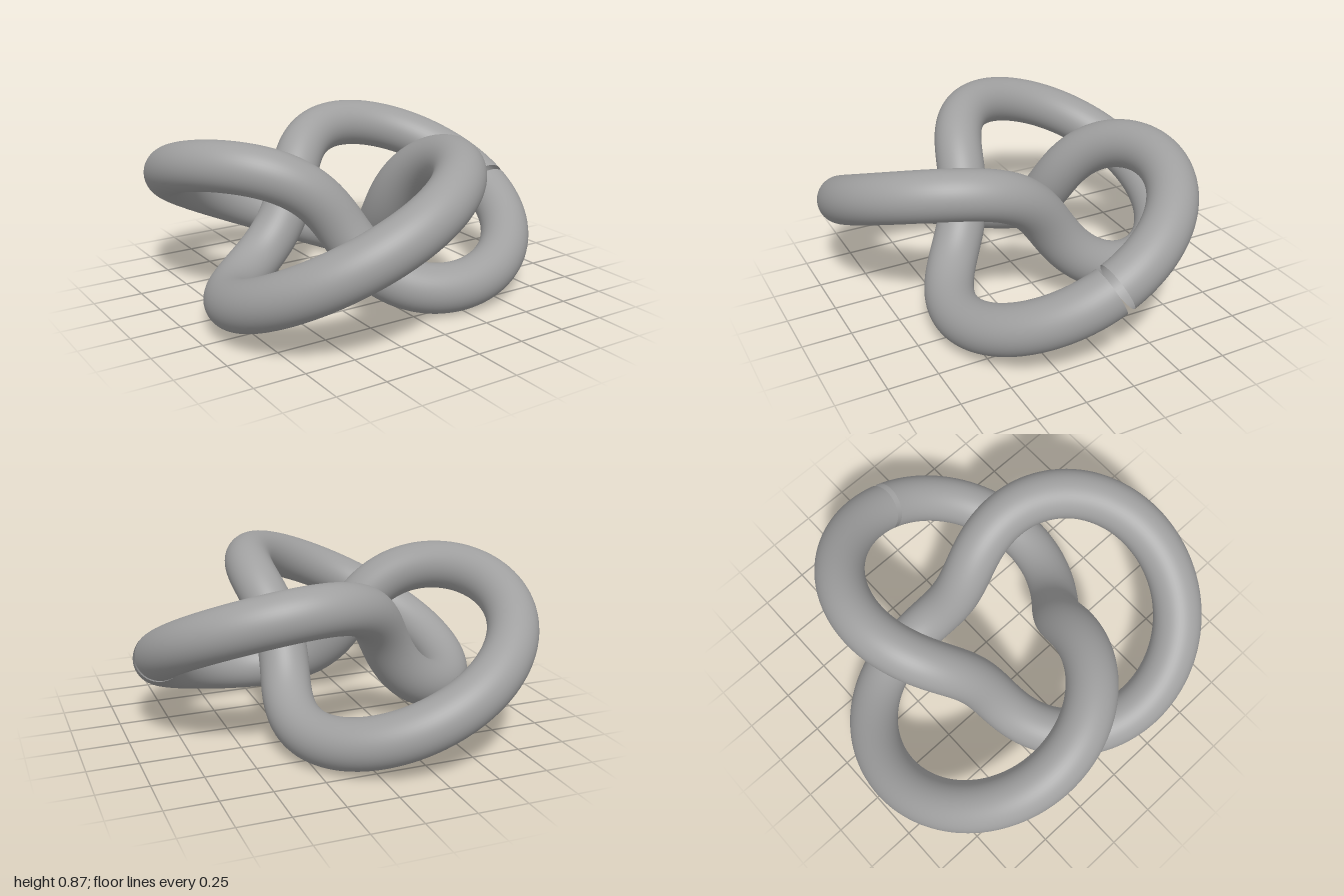
import * as THREE from 'three';

const RING = 0.62; // mean distance of the strand from the axis
const WAVE = 0.31; // radial and vertical swing of the strand
const TUBE = 0.124; // strand thickness
const GAP = 0.034; // small open slit where the two ends meet (radians)

// Centre line: two turns around the axis with three rises and falls
class TrefoilCurve extends THREE.Curve {
  getPoint(t, target = new THREE.Vector3()) {
    const u = t * (Math.PI * 4 - GAP);
    const r = RING + WAVE * Math.cos(1.5 * u);
    return target.set(r * Math.cos(u), WAVE * Math.sin(1.5 * u), -r * Math.sin(u));
  }
}

export function createModel() {
  const group = new THREE.Group();
  group.name = 'trefoilKnot';

  const grey = new THREE.MeshStandardMaterial({ color: 0xa0a0a0, side: THREE.DoubleSide });
  grey.name = 'grey';

  // One smooth tube with open ends
  const curve = new TrefoilCurve();
  curve.arcLengthDivisions = 1000;
  const strand = new THREE.Mesh(new THREE.TubeGeometry(curve, 360, TUBE, 48, false), grey);
  strand.name = 'knotStrand';
  strand.position.set(-0.105, 0.44, -0.002);
  group.add(strand);

  return group;
}
